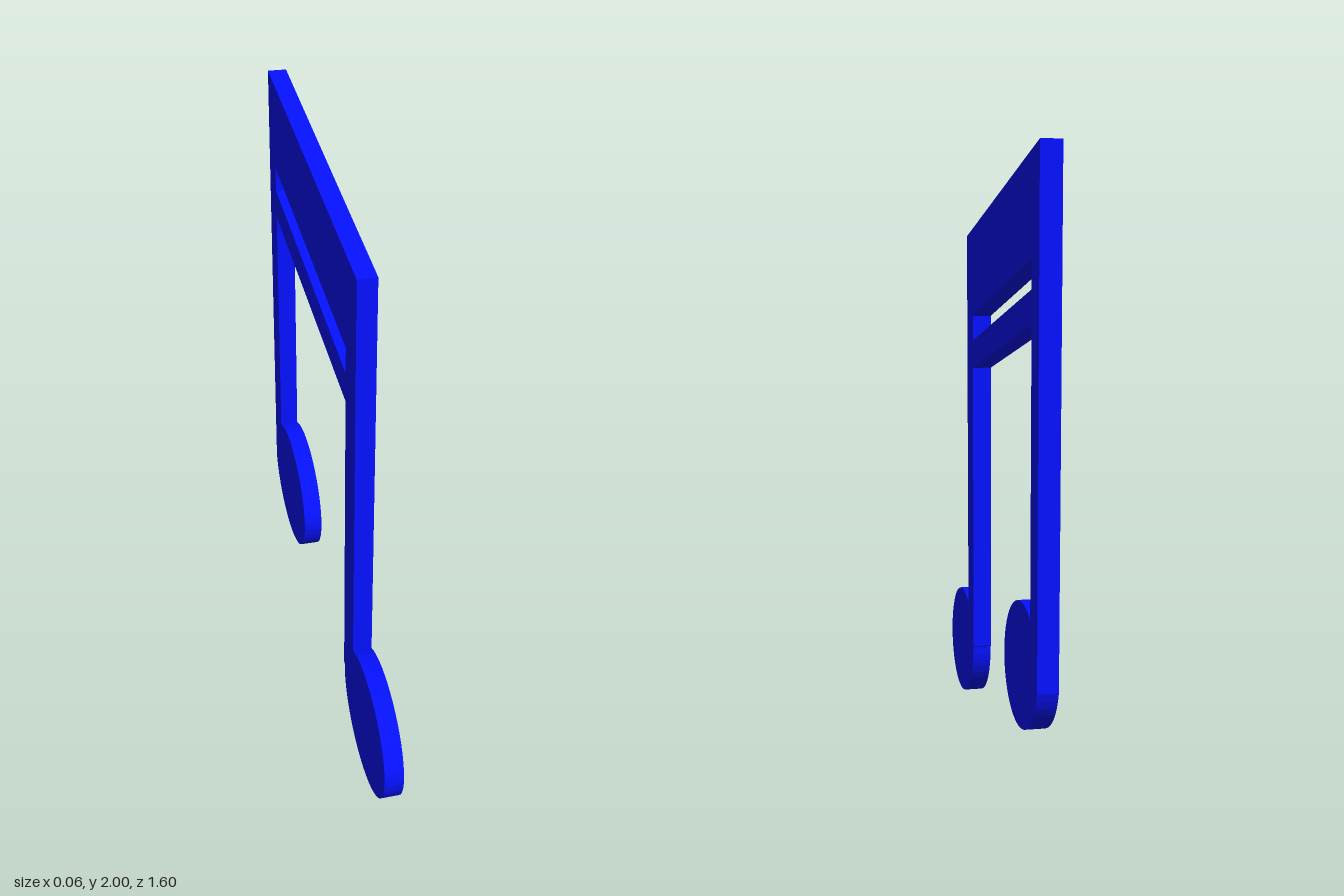
import * as THREE from 'three';

const THICKNESS = 0.064;
const material = new THREE.MeshStandardMaterial({ color: 0x0511ff });

const corners = (...list) => list.map(([x, y]) => new THREE.Vector2(x, y));

// Flat plate standing in the y-z plane; outline x runs towards the back
function plate(name, points) {
  const geometry = new THREE.ExtrudeGeometry(new THREE.Shape(points), {
    depth: THICKNESS,
    bevelEnabled: false,
  });
  geometry.translate(0, 0, -THICKNESS / 2);
  geometry.rotateY(Math.PI / 2);
  const mesh = new THREE.Mesh(geometry, material);
  mesh.name = name;
  return mesh;
}

// Tilted oval head, open between the stem's inner and outer edge
function headPoints(cx, cy, maxX) {
  const a = 0.258, b = 0.194, tilt = 0.352, start = 0.681, end = 6.05, steps = 40;
  const points = [];
  for (let i = 0; i <= steps; i++) {
    const t = start + (end - start) * i / steps;
    const p = new THREE.Vector2(a * Math.cos(t), b * Math.sin(t));
    p.rotateAround(new THREE.Vector2(), tilt).add(new THREE.Vector2(cx, cy));
    if (p.x < maxX) points.push(p);
  }
  return points;
}

// Stem and head in one outline, with a slanted stem top
function note(name, inner, outer, topInner, topOuter, cx, cy) {
  return plate(name, [
    ...corners([inner, topInner]),
    ...headPoints(cx, cy, outer),
    ...corners([outer, cy + 0.05], [outer, topOuter]),
  ]);
}

// Slanted bar between the two stems
function beam(name, x0, x1, bottom0, bottom1, top0, top1) {
  return plate(name, corners([x0, bottom0], [x1, bottom1], [x1, top1], [x0, top0]));
}

export function createModel() {
  const group = new THREE.Group();
  group.name = 'beamedNotes';
  const x0 = -0.287, x1 = 0.703; // facing edges of the two stems

  group.add(
    note('frontNote', -0.405, x0, 1.725, 1.752, -0.548, 0.203),
    note('backNote', x1, 0.8, 1.978, 2, 0.555, 0.461),
    beam('upperBeam', x0, x1, 1.452, 1.68, 1.752, 1.978),
    beam('lowerBeam', x0, x1, 1.27, 1.498, 1.367, 1.596),
  );
  return group;
}
